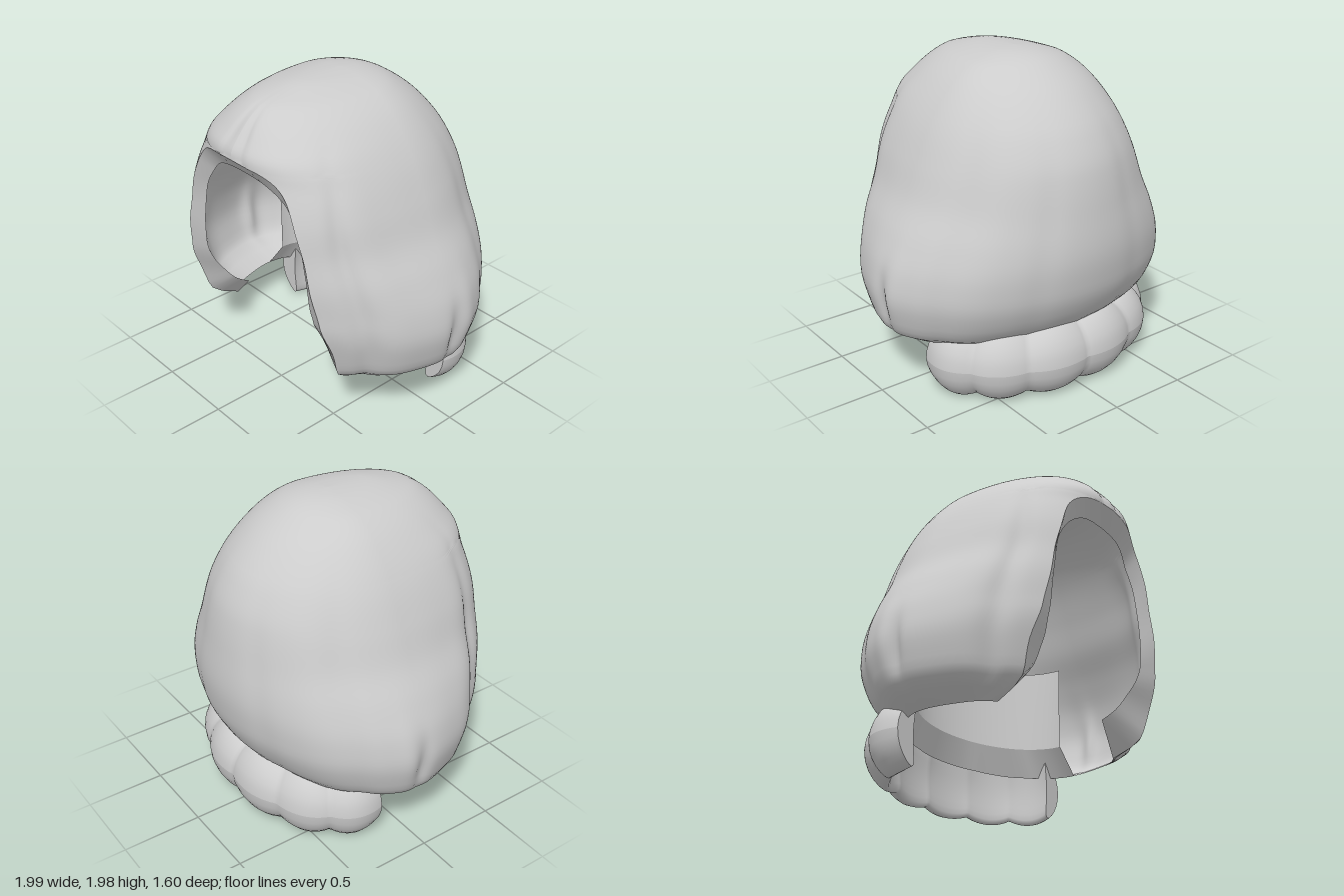
import * as THREE from 'three';

const ROWS = 64, COLS = 180, OPEN_ROW = 24;

// Smooth monotone interpolation through [y, value] pairs listed from top to bottom
function curve(points) {
  const n = points.length;
  const slope = i => (points[i + 1][1] - points[i][1]) / (points[i + 1][0] - points[i][0]);
  const tangent = i => {
    if (i === 0) return slope(0);
    if (i === n - 1) return slope(n - 2);
    const a = slope(i - 1), b = slope(i);
    return a * b <= 0 ? 0 : 2 * a * b / (a + b);
  };
  return y => {
    if (y >= points[0][0]) return points[0][1];
    if (y <= points[n - 1][0]) return points[n - 1][1];
    let i = 0;
    while (points[i + 1][0] > y) i++;
    const h = points[i + 1][0] - points[i][0], t = (y - points[i][0]) / h;
    const t2 = t * t, t3 = t2 * t;
    return (2 * t3 - 3 * t2 + 1) * points[i][1] + (t3 - 2 * t2 + t) * h * tangent(i)
      + (3 * t2 - 2 * t3) * points[i + 1][1] + (t3 - t2) * h * tangent(i + 1);
  };
}

// Half-width, front depth and back depth of the hair at each height
const halfWidth = curve([[1.99, 0], [1.985, 0.09], [1.96, 0.21], [1.92, 0.32], [1.8, 0.47], [1.6, 0.615],
  [1.4, 0.71], [1.2, 0.79], [1, 0.9], [0.8, 0.98], [0.66, 1], [0.5, 0.97], [0.42, 0.94], [0.36, 0.85], [0.31, 0.74]]);
const frontDepth = curve([[1.99, 0], [1.985, 0.25], [1.96, 0.41], [1.91, 0.59], [1.77, 0.745], [1.68, 0.8],
  [1.6, 0.805], [1.5, 0.83], [1.2, 0.92], [1, 0.94], [0.8, 0.95], [0.6, 0.89], [0.4, 0.82], [0.31, 0.76]]);
const backDepth = curve([[1.99, 0], [1.985, 0.09], [1.96, 0.21], [1.92, 0.3], [1.77, 0.5], [1.58, 0.655],
  [1.4, 0.735], [1.18, 0.775], [0.92, 0.8], [0.7, 0.775], [0.5, 0.69], [0.4, 0.6], [0.31, 0.5]]);
const squareness = curve([[1.99, 2], [1.85, 2.2], [1.6, 2.6], [1.5, 2.6], [1.2, 2.2], [1, 2], [0.8, 1.8], [0.31, 1.75]]);

// Face opening: half-width at its crest, then half-width, height and depth of the turned-in lip
const crestEdge = curve([[1.65, 0], [1.645, 0.12], [1.63, 0.23], [1.58, 0.33], [1.5, 0.4], [1.35, 0.47], [1.2, 0.52],
  [1, 0.57], [0.8, 0.61], [0.6, 0.64], [0.31, 0.6]]);
const lipEdge = curve([[1.65, 0], [1.645, 0.1], [1.63, 0.18], [1.58, 0.27], [1.5, 0.34], [1.35, 0.42], [1.2, 0.45],
  [1, 0.48], [0.8, 0.49], [0.6, 0.46], [0.31, 0.41]]);
const lipHeight = curve([[1.65, 1.55], [1.2, 1.16], [0.8, 0.8], [0.5, 0.6], [0.31, 0.5]]);
const lipDepth = curve([[1.65, 0.72], [1.5, 0.68], [1.2, 0.68], [0.9, 0.67], [0.7, 0.63], [0.55, 0.57], [0.4, 0.5], [0.31, 0.42]]);

const bump = (x, centre, width) => Math.exp(-(((x - centre) / width) ** 2));
const signedPower = (x, e) => Math.sign(x) * Math.abs(x) ** e;

// Soft folds running down from the crown
function folds(angle, y) {
  const a = Math.abs(angle) * 180 / Math.PI;
  const fall = THREE.MathUtils.smoothstep(1.95 - y, 0, 0.8);
  let r = fall * (-0.028 * bump(a, 54, 4) + 0.012 * bump(a, 65, 7)
    - 0.014 * bump(a, 122, 6) + 0.008 * bump(a, 138, 8) - 0.01 * bump(a, 158, 6));
  r -= 0.035 * bump(a, 92, 4) * bump(y, 0.6, 0.16);
  r += 0.012 * bump(a, 100, 5) * bump(y, 0.68, 0.25);
  // Parting ridge over the forehead
  return 1 + r - 0.022 * bump(y, 1.78, 0.13) * bump(a, 4.5, 2.2);
}

const rowHeight = i => i <= OPEN_ROW ? 1.99 - 0.34 * (i / OPEN_ROW) ** 1.6
  : 1.65 - 1.34 * ((i - OPEN_ROW) / (ROWS - OPEN_ROW)) ** 1.5;

function hairPoint(i, j) {
  const y = rowHeight(i), w = halfWidth(y), n = squareness(y);
  const start = i > OPEN_ROW ? Math.asin((crestEdge(y) / w) ** (n / 2)) : 0;
  const angle = start + (j / COLS) * 2 * (Math.PI - start);
  const s = Math.sin(angle), c = Math.cos(angle);
  const e = 2 / (c > 0 ? n : 1.95);
  const r = folds(angle > Math.PI ? angle - 2 * Math.PI : angle, y);
  return new THREE.Vector3(
    signedPower(s, e) * w * r, y,
    signedPower(c, e) * (c > 0 ? frontDepth(y) : backDepth(y)) * r);
}

// Surface through a grid of points; rows run down, columns run to the right
function gridGeometry(grid, flip = false) {
  const cols = grid[0].length, index = [];
  for (let i = 0; i < grid.length - 1; i++) {
    for (let j = 0; j < cols - 1; j++) {
      const a = i * cols + j, b = a + cols;
      if (flip) index.push(a, a + 1, b, b, a + 1, b + 1);
      else index.push(a, b, a + 1, b, b + 1, a + 1);
    }
  }
  const geometry = new THREE.BufferGeometry().setFromPoints(grid.flat());
  geometry.setIndex(index);
  geometry.computeVertexNormals();
  return geometry;
}

// Scalloped roll of curls, swept around the nape
function rollGrid() {
  const grid = [], steps = 112, sides = 24;
  for (let i = 0; i <= sides; i++) {
    const row = [];
    for (let j = 0; j <= steps; j++) {
      const t = j / steps, a = t * Math.PI;
      const lobe = Math.abs(Math.sin(t * Math.PI * 6)) ** 0.8;
      const round = 0.87 + 0.13 * lobe;
      const phi = -i / sides * Math.PI * 2;
      const out = Math.cos(phi) * 0.075 * round - 0.02 * (1 - lobe);
      const lean = -0.06 * Math.sin(phi) ** 2;
      row.push(new THREE.Vector3(
        Math.cos(a) * (0.735 + out + lean),
        0.23 + Math.sin(phi) * 0.22 * round,
        -0.16 - Math.sin(a) ** 0.9 * (0.53 + out + lean)));
    }
    grid.push(row);
  }
  return grid;
}

export function createModel() {
  const group = new THREE.Group();
  const hair = new THREE.MeshStandardMaterial({ color: 0xcccccc, side: THREE.DoubleSide });
  hair.name = 'pale grey hair';
  const add = (name, geometry) => {
    const mesh = new THREE.Mesh(geometry, hair);
    mesh.name = name;
    group.add(mesh);
  };

  // Hollow bob
  const outer = Array.from({ length: ROWS + 1 }, (_, i) =>
    Array.from({ length: COLS + 1 }, (_, j) => hairPoint(i, j)));
  add('outerHair', gridGeometry(outer));

  // Lip turned in around the face opening
  const crest = [], lip = [];
  for (const side of [1, -1]) {
    for (let k = OPEN_ROW; k <= ROWS; k++) {
      const i = side > 0 ? ROWS + OPEN_ROW - k : k, y = rowHeight(i);
      crest.push(outer[i][side > 0 ? 0 : COLS]);
      lip.push(new THREE.Vector3(side * lipEdge(y), lipHeight(y), lipDepth(y)));
    }
  }
  add('faceLip', gridGeometry([crest, lip], true));

  // Lining at the nape, flaring out to meet the hem
  const hem = outer[ROWS].filter(p => p.z < 0);
  const liningRow = (y, width, depth) => hem.map((_, j) => {
    const a = j / (hem.length - 1) * Math.PI;
    return new THREE.Vector3(Math.cos(a) * width, y, -0.03 - Math.sin(a) * depth);
  });
  add('napeLining', gridGeometry([liningRow(1.02, 0.63, 0.5), liningRow(0.75, 0.62, 0.47), liningRow(0.48, 0.62, 0.42)], true));
  add('napeHem', gridGeometry([liningRow(0.48, 0.62, 0.42), hem], true));

  // Nape roll with closed ends
  const roll = rollGrid();
  add('napeRoll', gridGeometry(roll));
  for (const [name, column] of [['leftRollEnd', 0], ['rightRollEnd', roll[0].length - 1]]) {
    const ring = roll.map(row => row[column]);
    const centre = ring.slice(1).reduce((sum, p) => sum.add(p), new THREE.Vector3()).divideScalar(ring.length - 1);
    add(name, gridGeometry([ring, ring.map(() => centre)], column > 0));
  }
  return group;
}
